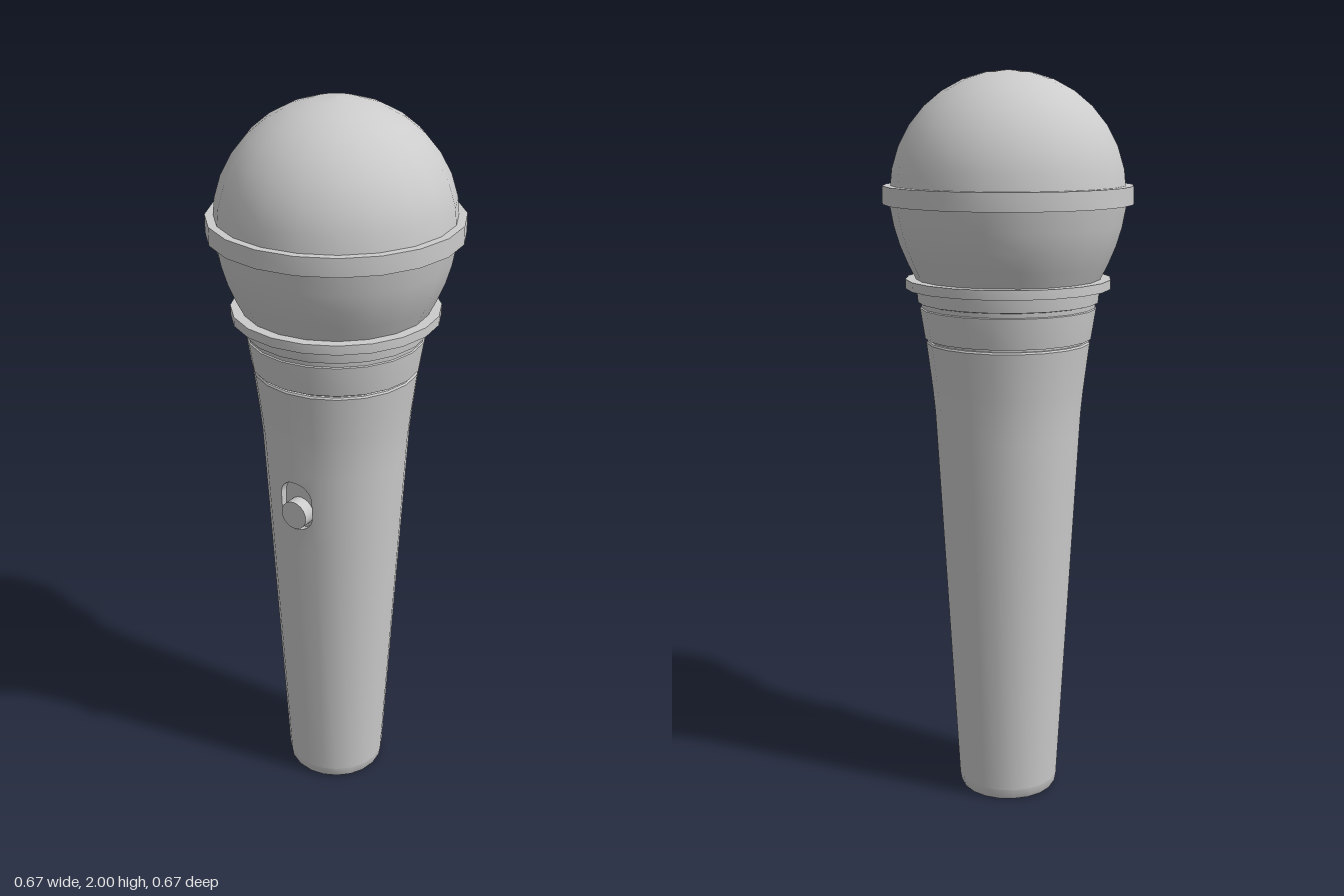
import * as THREE from 'three';
import { toCreasedNormals } from 'three/addons/utils/BufferGeometryUtils.js';

const SIDES = 20;
const STEP = (Math.PI * 2) / SIDES;
const grey = new THREE.MeshStandardMaterial({ color: 0xcccccc });
const greyDouble = new THREE.MeshStandardMaterial({ color: 0xcccccc, side: THREE.DoubleSide });

// straight part of the grip, with the switch slot cut between panelLow and panelHigh
const gripRadius = (y) => 0.14 + (y - 0.03) * 0.0559;
const panelLow = 0.8, panelHigh = 1.05;
const slot = { r: 0.05, low: 0.92, high: 0.965, floor: 0.163 };
const frontZ = (x, y) => gripRadius(y) - Math.abs(x) * Math.tan(STEP / 2);

export function createModel() {
  const model = new THREE.Group();
  model.name = 'microphone';

  const add = (name, geometry, parent = model, material = grey) => {
    const mesh = new THREE.Mesh(geometry, material);
    mesh.name = name;
    parent.add(mesh);
    return mesh;
  };
  const lathe = (profile, start = 0, count = SIDES) =>
    new THREE.LatheGeometry(profile.map(([r, y]) => new THREE.Vector2(r, y)), count, start * STEP, count * STEP);
  const creased = (profile) => toCreasedNormals(lathe(profile), 0.5);

  // Wire head: upper dome, band and lower bowl
  const dome = [];
  for (let i = 0; i <= 8; i++) {
    const a = (i / 8) * Math.PI / 2;
    dome.push([0.313 * Math.cos(a), 1.687 + 0.313 * Math.sin(a)]);
  }
  dome[8][0] = 0;
  add('grilleDome', lathe(dome));
  add('grilleBand', creased([[0.3, 1.657], [0.333, 1.657], [0.333, 1.705], [0.3, 1.705]]));
  add('grilleBowl', lathe([[0.24, 1.445], [0.268, 1.5], [0.289, 1.55], [0.304, 1.6], [0.315, 1.66]]));

  // Collar under the head
  add('collarRing', creased([[0.22, 1.435], [0.276, 1.435], [0.276, 1.46], [0.22, 1.46]]));
  add('collar', creased([
    [0.2, 1.3], [0.225, 1.3], [0.238, 1.382], [0.234, 1.384], [0.235, 1.396], [0.243, 1.398], [0.247, 1.44],
  ]));
  add('collarGroove', lathe([[0.212, 1.28], [0.212, 1.31]]));

  // Handle
  const handle = new THREE.Group();
  handle.name = 'handle';
  model.add(handle);
  add('handleBottom', creased([[0, 0], [0.132, 0], [0.136, 0.006], [0.14, 0.03]]), handle);
  add('lowerGrip', lathe([[0.14, 0.03], [gripRadius(panelLow), panelLow]]), handle);
  add('middleGrip', lathe([[gripRadius(panelLow), panelLow], [gripRadius(panelHigh), panelHigh]], 1, SIDES - 2), handle);
  add('upperGrip', lathe([
    [gripRadius(panelHigh), panelHigh], [0.2, 1.1], [0.206, 1.16], [0.214, 1.225], [0.222, 1.288],
  ]), handle);
  add('handleRim', creased([[0.222, 1.288], [0.219, 1.293], [0.205, 1.293]]), handle);

  // Outline of the right half of the slot, from top to bottom
  const halfSlot = [];
  for (let i = 0; i <= 16; i++) {
    const a = Math.PI / 2 - (i % 9 + (i > 8 ? 1 : 0)) * Math.PI / 16;
    const upper = i <= 8;
    const angle = upper ? a : -(i - 9) * Math.PI / 14;
    halfSlot.push([slot.r * Math.cos(angle), (upper ? slot.high : slot.low) + slot.r * Math.sin(angle)]);
  }
  halfSlot[0][0] = halfSlot[16][0] = 0;

  // Two front facets of the grip with the slot cut out
  for (const side of [1, -1]) {
    const edge = (y) => gripRadius(y) * Math.sin(STEP);
    const outline = [[0, panelLow], [edge(panelLow), panelLow], [edge(panelHigh), panelHigh], [0, panelHigh], ...halfSlot];
    const panel = new THREE.ShapeGeometry(new THREE.Shape(outline.map(([x, y]) => new THREE.Vector2(side * x, y))));
    const p = panel.attributes.position;
    const n = new THREE.Vector3();
    for (let i = 0; i < p.count; i++) {
      const x = p.getX(i), z = frontZ(x, p.getY(i));
      p.setZ(i, z);
      n.set(x, -0.0559 * z, z).normalize();
      panel.attributes.normal.setXYZ(i, n.x, n.y, n.z);
    }
    add(side > 0 ? 'leftFrontPanel' : 'rightFrontPanel', panel, handle);
  }

  // Slot walls and floor
  const loop = [...halfSlot, ...halfSlot.slice(1, -1).reverse().map(([x, y]) => [-x, y]), halfSlot[0]];
  const walls = new THREE.PlaneGeometry(1, 1, loop.length - 1, 1);
  loop.forEach(([x, y], i) => {
    walls.attributes.position.setXYZ(i, x, y, frontZ(x, y));
    walls.attributes.position.setXYZ(i + loop.length, x, y, slot.floor);
  });
  walls.computeVertexNormals();
  add('slotWalls', walls, handle, greyDouble);
  const floor = new THREE.ShapeGeometry(new THREE.Shape(loop.slice(0, -1).map(([x, y]) => new THREE.Vector2(x, y))));
  add('slotFloor', floor, handle).position.z = slot.floor;

  // Switch button
  const button = new THREE.CylinderGeometry(0.04, 0.04, 0.038, 20);
  button.rotateX(Math.PI / 2);
  add('switchButton', button).position.set(0, 0.918, 0.179);

  return model;
}
